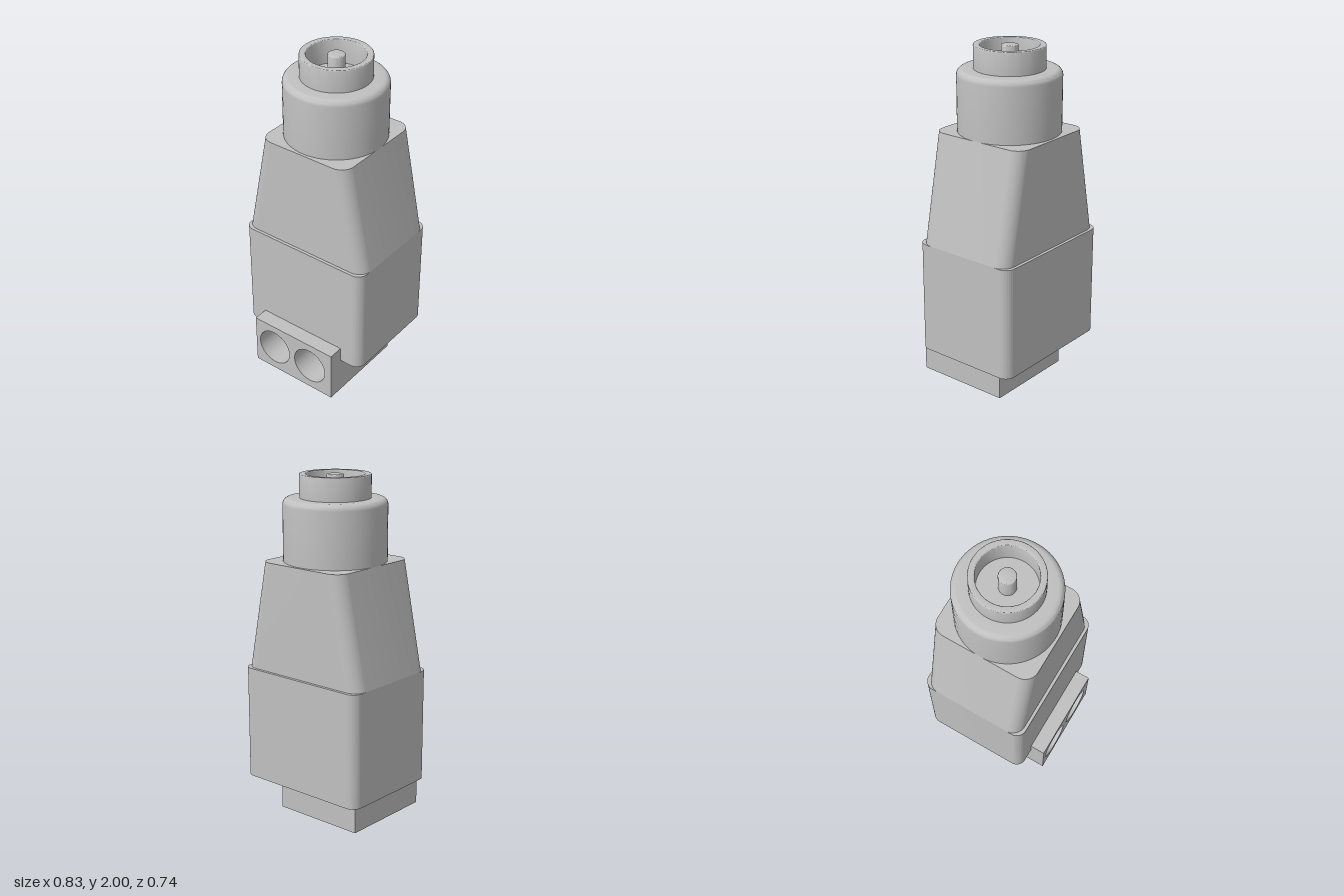
import * as THREE from 'three';
import { toCreasedNormals } from 'three/addons/utils/BufferGeometryUtils.js';

const AXIS_Z = -0.045;

// Rounded rectangle centred on 0, with an optional notch cut in from its front edge
function roundedRect(w, d, r, notchHalf = 0, notchDepth = 0) {
  const s = new THREE.Shape();
  s.moveTo(notchHalf, -d);
  s.lineTo(w - r, -d);
  s.absarc(w - r, -d + r, r, -Math.PI / 2, 0);
  s.absarc(w - r, d - r, r, 0, Math.PI / 2);
  s.absarc(-w + r, d - r, r, Math.PI / 2, Math.PI);
  s.absarc(-w + r, -d + r, r, Math.PI, Math.PI * 1.5);
  s.lineTo(-notchHalf, -d);
  if (notchHalf > 0) {
    s.lineTo(-notchHalf, -d + notchDepth);
    s.lineTo(notchHalf, -d + notchDepth);
  }
  return s;
}

// Extrude a floor-plan shape upwards from y0 to y1
function extrudeUp(shape, y0, y1) {
  const g = new THREE.ExtrudeGeometry(shape, { depth: y1 - y0, bevelEnabled: false, curveSegments: 10 });
  g.rotateX(-Math.PI / 2);
  g.translate(0, y0, AXIS_Z);
  return g;
}

// Points of a quarter-round edge
function fillet(cx, cy, r, a0, a1, n = 6) {
  return Array.from({ length: n + 1 }, (_, i) => {
    const a = a0 + (a1 - a0) * i / n;
    return [cx + r * Math.cos(a), cy + r * Math.sin(a)];
  });
}

function lathe(points) {
  const g = new THREE.LatheGeometry(points.map(p => new THREE.Vector2(p[0], p[1])), 64);
  g.translate(0, 0, AXIS_Z);
  return g;
}

export function createModel() {
  const group = new THREE.Group();
  const grey = new THREE.MeshStandardMaterial({ color: 0xc0c0c0 });
  grey.name = 'grey plastic';
  const add = (name, geometry) => {
    const mesh = new THREE.Mesh(toCreasedNormals(geometry, 0.6), grey);
    mesh.name = name;
    group.add(mesh);
  };
  const H = Math.PI / 2;

  // Lower housing, with a notch at its foot that receives the terminal block
  add('lowerHousing', extrudeUp(roundedRect(0.417, 0.325, 0.06), 0.32, 0.89));
  add('lowerHousingFoot', extrudeUp(roundedRect(0.417, 0.325, 0.06, 0.284, 0.485), 0.23, 0.32));

  // Tapered housing: only the width narrows, the corners keep their radius
  const taper = extrudeUp(roundedRect(0.417, 0.307, 0.08), 0.89, 1.52);
  const p = taper.attributes.position;
  for (let i = 0; i < p.count; i++) {
    const t = (p.getY(i) - 0.89) / 0.63;
    p.setX(i, p.getX(i) - Math.sign(p.getX(i)) * 0.127 * t);
  }
  add('taperedHousing', taper);

  // Round collar with a softened top edge
  add('collar', lathe([
    [0.291, 1.52], ...fillet(0.256, 1.835, 0.035, 0, H), [0.19, 1.87],
  ]));

  // Hollow socket and its centre pin
  add('socket', lathe([
    [0.199, 1.86], ...fillet(0.194, 1.995, 0.005, 0, H, 3),
    ...fillet(0.167, 1.995, 0.005, H, Math.PI, 3), [0.162, 1.86], [0, 1.86],
  ]));
  add('centrePin', lathe([
    [0.048, 1.86], ...fillet(0.042, 1.992, 0.006, 0, H, 3), [0, 1.998],
  ]));

  // Terminal block with two blind round holes in the front
  const face = new THREE.Shape();
  face.moveTo(-0.284, 0.0);
  face.lineTo(0.284, 0.0);
  face.lineTo(0.284, 0.32);
  face.lineTo(-0.284, 0.32);
  for (const x of [-0.142, 0.124]) {
    const hole = new THREE.Path();
    hole.absarc(x, 0.163, 0.113, 0, Math.PI * 2, true);
    face.holes.push(hole);
  }
  const block = new THREE.ExtrudeGeometry(face, { depth: 0.4, bevelEnabled: false, curveSegments: 32 });
  block.translate(0, 0, -0.03);
  add('terminalBlock', block);
  const back = new THREE.BoxGeometry(0.568, 0.32, 0.175);
  back.translate(0, 0.16, -0.1175);
  add('terminalBlockBack', back);

  return group;
}
